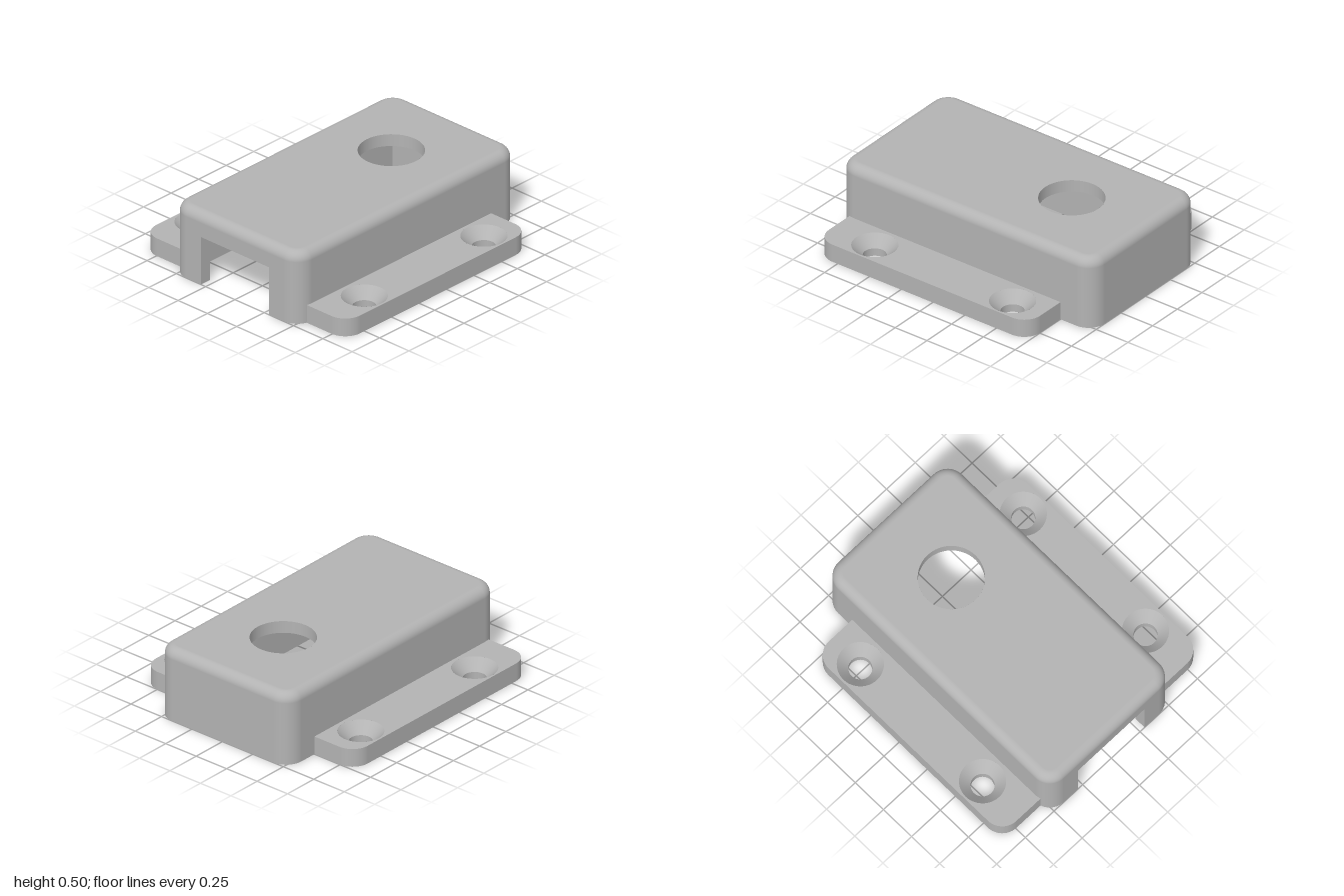
import * as THREE from 'three';
import { mergeGeometries } from 'three/addons/utils/BufferGeometryUtils.js';

const W = 0.54, L = 1, H = 0.5, R = 0.125, FILLET = 0.067;   // housing
const IX = 0.457, IZ = 0.917, IY = 0.417;                    // cavity
const NX = 0.29, NY = 0.335;                                 // front notch
const HOLE = { x: 0, z: -0.42, r: 0.21 };
const FT = 0.125;                                            // flange thickness

// Rounded corner in plan: points with outward normals, quarter k of the turn from +z towards +x
function corner(cx, cz, r, k, n = 12) {
  return Array.from({ length: n + 1 }, (_, i) => {
    const a = (k + i / n) * Math.PI / 2, nx = Math.sin(a), nz = Math.cos(a);
    return { x: cx + r * nx, z: cz + r * nz, nx, nz };
  });
}

// Skin over a plan outline, one ring per { y, inset, tilt }; skip(i, j) leaves openings
function skin(outline, rings, closed = false, skip = () => false) {
  const pos = [], nor = [], idx = [], n = outline.length;
  for (const { y, inset = 0, tilt = 0 } of rings) {
    for (const p of outline) {
      pos.push(p.x - p.nx * inset, y, p.z - p.nz * inset);
      nor.push(p.nx * Math.cos(tilt), Math.sin(tilt), p.nz * Math.cos(tilt));
    }
  }
  for (let j = 0; j < rings.length - 1; j++) {
    for (let i = 0; i < (closed ? n : n - 1); i++) {
      if (skip(i, j)) continue;
      const a = j * n + i, b = j * n + (i + 1) % n;
      idx.push(a, b, b + n, a, b + n, a + n);
    }
  }
  const g = new THREE.BufferGeometry();
  g.setAttribute('position', new THREE.Float32BufferAttribute(pos, 3));
  g.setAttribute('normal', new THREE.Float32BufferAttribute(nor, 3));
  g.setIndex(idx);
  return g;
}

// Flat upright wall between two plan points
function wall([x0, z0], [x1, z1], y0, y1) {
  const d = Math.hypot(x1 - x0, z1 - z0), nx = (z0 - z1) / d, nz = (x1 - x0) / d;
  return skin([{ x: x0, z: z0, nx, nz }, { x: x1, z: z1, nx, nz }], [{ y: y0 }, { y: y1 }]);
}

// Level face with round holes, facing up or down
function plate(points, y, up, holes = []) {
  const shape = new THREE.Shape(points.map(([x, z]) => new THREE.Vector2(x, z)));
  for (const h of holes) shape.holes.push(new THREE.Path().absarc(h.x, h.z, h.r, 0, Math.PI * 2, true));
  const g = new THREE.ShapeGeometry(shape, 48).rotateX(Math.PI / 2).translate(0, y, 0);
  if (up) {
    g.index.array.reverse();
    for (let i = 0; i < g.attributes.normal.count; i++) g.attributes.normal.setXYZ(i, 0, 1, 0);
  }
  g.deleteAttribute('uv');
  return g;
}

// Inward-facing side of a round hole, from top radius to bottom radius
function bore(x, z, rTop, yTop, rBottom, yBottom) {
  const g = new THREE.LatheGeometry([new THREE.Vector2(rTop, yTop), new THREE.Vector2(rBottom, yBottom)], 48);
  g.deleteAttribute('uv');
  return g.translate(x, 0, z);
}

const plan = (outline, inset = 0) => outline.map(p => [p.x - p.nx * inset, p.z - p.nz * inset]);

export function createModel() {
  const model = new THREE.Group();
  const grey = new THREE.MeshStandardMaterial({ color: 0xb3b3b3, side: THREE.DoubleSide });
  grey.name = 'grey plastic';
  const add = (name, ...parts) => {
    const mesh = new THREE.Mesh(mergeGeometries(parts), grey);
    mesh.name = name;
    model.add(mesh);
  };

  // Housing outline, starting and ending at the front notch
  const cx = W - R, cz = L - R;
  const outline = [
    { x: NX, z: L, nx: 0, nz: 1 },
    ...corner(cx, cz, R, 0), ...corner(cx, -cz, R, 1),
    ...corner(-cx, -cz, R, 2), ...corner(-cx, cz, R, 3),
    { x: -NX, z: L, nx: 0, nz: 1 },
  ];
  const rings = [{ y: 0 }, { y: NY }];
  for (let i = 0; i <= 10; i++) {
    const tilt = i / 10 * Math.PI / 2;
    rings.push({ y: H - FILLET * (1 - Math.sin(tilt)), inset: FILLET * (1 - Math.cos(tilt)), tilt });
  }
  add('housingShell', skin(outline, rings, true, (i, j) => j === 0 && i === outline.length - 1));
  add('housingTop', plate(plan(outline, FILLET), H, true, [HOLE]));
  add('topHole', bore(HOLE.x, HOLE.z, HOLE.r, H, HOLE.r, IY));

  // Cavity walls, notch sides and bottom rim
  const inner = [[-NX, L], [-NX, IZ], [-IX, IZ], [-IX, -IZ], [IX, -IZ], [IX, IZ], [NX, IZ], [NX, L]];
  const heights = [NY, NY, IY, IY, IY, NY, NY];
  add('cavityWalls',
    ...heights.map((h, i) => wall(inner[i], inner[i + 1], 0, h)),
    wall([IX, IZ], [-IX, IZ], NY, IY));
  add('cavityCeiling', plate([[-IX, -IZ], [IX, -IZ], [IX, IZ], [-IX, IZ]], IY, false, [HOLE]));
  add('notchLintel', plate([[-NX, IZ], [NX, IZ], [NX, L], [-NX, L]], NY, false));
  add('bottomRim', plate([...plan(outline), ...inner.slice(1, -1)], 0, false));

  // Side mounting flanges with countersunk screw holes
  for (const s of [1, -1]) {
    const edge = [
      { x: 0.53, z: 0.915, nx: 0, nz: 1 },
      ...corner(0.745, 0.79, 0.125, 0), ...corner(0.745, -0.625, 0.125, 1),
      { x: 0.53, z: -0.75, nx: 0, nz: -1 },
    ].map(p => ({ ...p, x: s * p.x, nx: s * p.nx }));
    if (s < 0) edge.reverse();
    const holes = r => [-0.505, 0.58].map(z => ({ x: s * 0.71, z, r }));
    const side = s > 0 ? 'left' : 'right';
    add(side + 'Flange',
      skin(edge, [{ y: 0 }, { y: FT }]),
      plate(plan(edge), FT, true, holes(0.147)),
      plate(plan(edge), 0, false, holes(0.075)));
    add(side + 'ScrewHoles', ...holes(0).flatMap(({ x, z }) => [
      bore(x, z, 0.147, FT, 0.075, 0.053),
      bore(x, z, 0.075, 0.053, 0.075, 0),
    ]));
  }
  return model;
}
